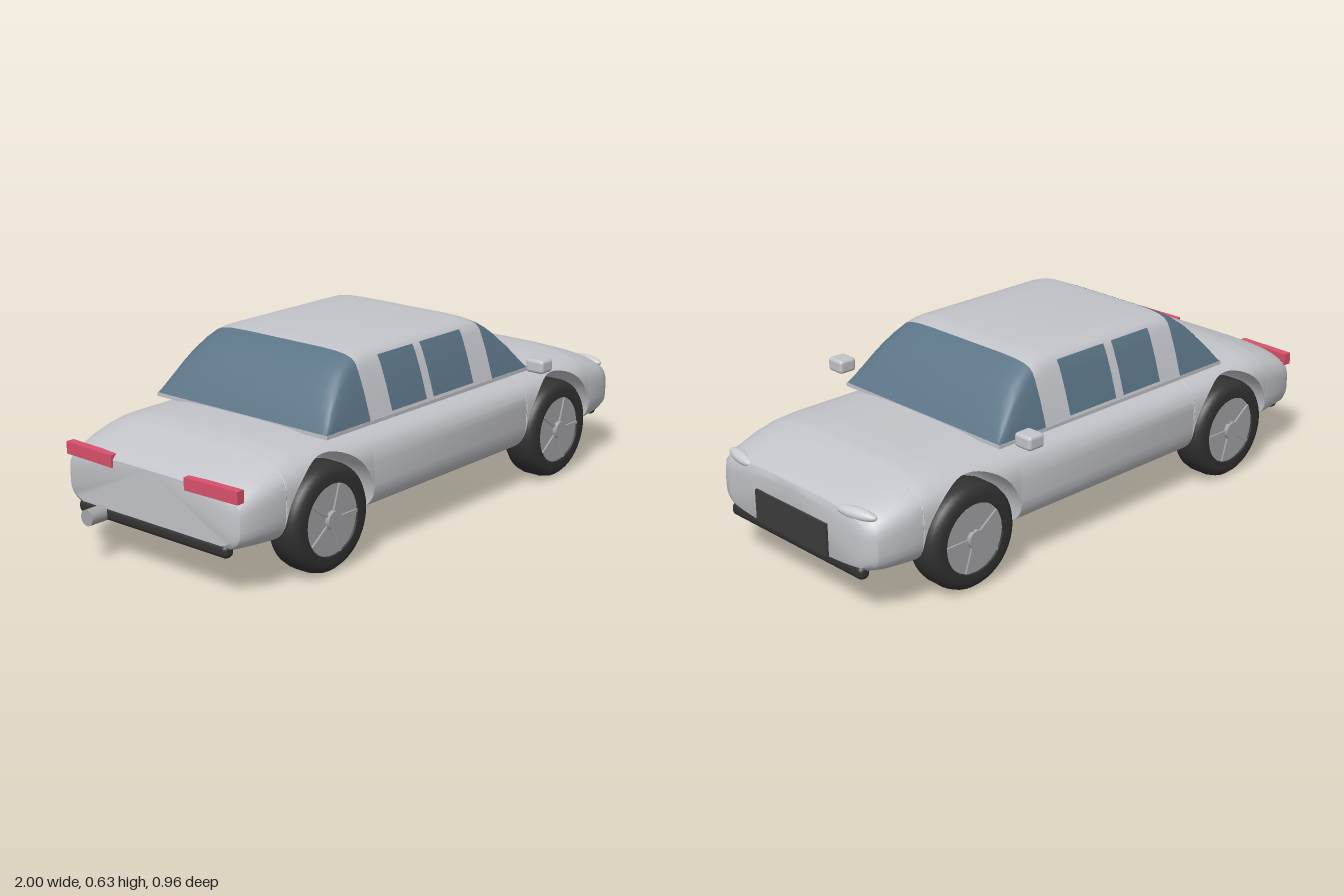
import * as THREE from 'three';
import { toCreasedNormals } from 'three/addons/utils/BufferGeometryUtils.js';
import { RoundedBoxGeometry } from 'three/addons/geometries/RoundedBoxGeometry.js';

const material = (name, color, side = THREE.FrontSide) =>
  new THREE.MeshStandardMaterial({ name, color, side });

// Skins rows of points that advance along +x; closed rows also get end caps.
function loft(rows, closed) {
  const n = rows[0].length, pos = rows.flat(2), index = [];
  const span = closed ? n : n - 1;
  for (let i = 0; i < rows.length - 1; i++) {
    for (let j = 0; j < span; j++) {
      const a = i * n + j, b = i * n + (j + 1) % n;
      index.push(a, b, a + n, b, b + n, a + n);
    }
  }
  if (closed) {
    const last = (rows.length - 1) * n;
    for (let j = 1; j < n - 1; j++) {
      index.push(0, j + 1, j);
      index.push(last, last + j, last + j + 1);
    }
  }
  const g = new THREE.BufferGeometry();
  g.setAttribute('position', new THREE.Float32BufferAttribute(pos, 3));
  g.setIndex(index);
  return toCreasedNormals(g, 0.55);
}

// Linear lookup of every column in a table keyed by its first column.
function lookup(table, x) {
  let i = 0;
  while (i < table.length - 2 && x > table[i + 1][0]) i++;
  const p = table[i], q = table[i + 1];
  const t = THREE.MathUtils.clamp((x - p[0]) / (q[0] - p[0]), 0, 1);
  return p.map((v, k) => v + (q[k] - v) * t);
}

// Body stations: x, top, bottom, half width
const BODY = [
  [-0.935, 0.335, 0.15, 0.345], [-0.925, 0.348, 0.14, 0.365], [-0.9, 0.36, 0.135, 0.378],
  [-0.83, 0.388, 0.128, 0.39], [-0.76, 0.408, 0.122, 0.398], [-0.7, 0.418, 0.118, 0.402],
  [-0.62, 0.42, 0.115, 0.404], [0.7, 0.42, 0.115, 0.404], [0.78, 0.415, 0.117, 0.4],
  [0.85, 0.398, 0.123, 0.395], [0.92, 0.374, 0.13, 0.386], [0.965, 0.356, 0.137, 0.37],
  [0.985, 0.343, 0.145, 0.345], [0.992, 0.325, 0.16, 0.31],
];
const AXLES = [-0.57, 0.62], ARCH_R = 0.197, ARCH_Y = 0.18;

// Rounded cross-section, cut off flat below the height "cut"
function bodySection(x, cut) {
  const [, top, bottom, width] = lookup(BODY, x);
  const n = 3.7, c = (top + bottom) / 2, h = (top - bottom) / 2, steps = 24;
  const u = Math.max(-0.995, (cut - c) / h);
  const end = Math.acos(Math.sign(u) * Math.abs(u) ** (n / 2));
  const half = [];
  for (let i = 0; i <= steps; i++) {
    const a = end * i / steps, k = Math.cos(a);
    half.push([x, c + h * Math.sign(k) * Math.abs(k) ** (2 / n), width * Math.sin(a) ** (2 / n)]);
  }
  return [...half, ...half.slice(1).reverse().map(([px, y, z]) => [px, y, -z])];
}

function bodyGeometry() {
  const stations = BODY.map(r => [r[0], 0]).filter(([x]) => AXLES.every(c => Math.abs(x - c) > ARCH_R));
  for (const c of AXLES) {
    stations.push([c - ARCH_R, 0]);
    for (let i = 0; i <= 28; i++) {
      const a = Math.PI * i / 28;
      stations.push([c - ARCH_R * Math.cos(a), ARCH_Y + ARCH_R * Math.sin(a)]);
    }
    stations.push([c + ARCH_R, 0]);
  }
  stations.sort((p, q) => p[0] - q[0]);
  return loft(stations.map(([x, cut]) => bodySection(x, cut)), true);
}

// Cabin: side profile (x, y) and half cross-section (height fraction, z)
const BASE = 0.42, RISE = 0.21;
const CABIN = [
  [-0.55, 0.42], [-0.525, 0.46], [-0.5, 0.494], [-0.465, 0.536], [-0.43, 0.572], [-0.39, 0.602],
  [-0.345, 0.622], [-0.3, 0.63], [0.2, 0.63], [0.24, 0.627], [0.28, 0.615], [0.32, 0.594],
  [0.36, 0.562], [0.4, 0.522], [0.44, 0.475], [0.48, 0.42],
];
const SIDE = [
  [0, 0.363], [0.2, 0.35], [0.43, 0.335], [0.6, 0.322], [0.75, 0.31], [0.85, 0.3],
  [0.92, 0.285], [0.965, 0.26], [0.99, 0.22], [1, 0.16], [1, 0],
];

function cabinSection(x) {
  const h = lookup(CABIN, x)[1] - BASE;
  const half = SIDE.map(([f, z]) => [x, BASE + h * f, z * (1 + 0.2 * f * (1 - h / RISE))]);
  return [...half.map(([px, y, z]) => [px, y, -z]), ...half.slice(0, -1).reverse()];
}

const cabinPart = (from, to) =>
  loft(CABIN.filter(([x]) => x >= from && x <= to).map(([x]) => cabinSection(x)), false);

// Thin pane lying just outside the cabin side
function paneGeometry(x0, x1, side) {
  const rows = [x0, x1].map(x => [0.86, 0.75, 0.6, 0.43, 0.2, 0.05].map(f =>
    [x, BASE + RISE * f + 0.001, side * (lookup(SIDE, f)[1] + 0.004)]));
  return loft(rows, false);
}

export function createModel() {
  const paint = material('body paint', 0xc3c4c9, THREE.DoubleSide);
  const glass = material('glass', 0x5b7486, THREE.DoubleSide);
  const rubber = material('tyre rubber', 0x323232);
  const alloy = material('wheel alloy', 0xa5a5a7);
  const trim = material('dark trim', 0x3c3c3c);
  const red = material('tail light red', 0xd9506c);
  const lamp = material('headlight', 0xcbccd0);

  const car = new THREE.Group();
  car.name = 'car';
  const add = (name, geometry, mat, x = 0, y = 0, z = 0, parent = car) => {
    const mesh = new THREE.Mesh(geometry, mat);
    mesh.name = name;
    mesh.position.set(x, y, z);
    parent.add(mesh);
    return mesh;
  };

  // Shell and cabin
  add('body', bodyGeometry(), paint);
  add('cabinSill', new THREE.BoxGeometry(1.03, 0.012, 0.728), paint, -0.035, 0.416, 0);
  add('roof', cabinPart(-0.345, 0.28), paint);
  add('rearWindow', cabinPart(-0.55, -0.345), glass);
  add('windshield', cabinPart(0.28, 0.48), glass);

  // Wheels: rounded tyre, alloy disc, five slim spokes and a hub
  const tyreProfile = [[0, -0.0625], [0.14, -0.0625], [0.156, -0.058], [0.167, -0.045], [0.172, -0.025],
    [0.172, 0.025], [0.167, 0.045], [0.156, 0.058], [0.14, 0.0625], [0.115, 0.0615], [0.113, 0.045]]
    .map(([r, y]) => new THREE.Vector2(r, y));
  const tyre = toCreasedNormals(new THREE.LatheGeometry(tyreProfile, 40), 0.6);
  const disc = new THREE.CylinderGeometry(0.115, 0.115, 0.03, 40);
  const hub = new THREE.CylinderGeometry(0.03, 0.03, 0.03, 24);
  const spoke = new THREE.BoxGeometry(0.085, 0.008, 0.01);
  for (const x of AXLES) {
    for (const s of [1, -1]) {
      const wheel = new THREE.Group();
      wheel.name = (x > 0 ? 'front' : 'rear') + (s > 0 ? 'Left' : 'Right') + 'Wheel';
      wheel.position.set(x, 0.174, s * 0.345);
      wheel.rotation.x = s * Math.PI / 2;
      add('tyre', tyre, rubber, 0, 0, 0, wheel);
      add('rim', disc, alloy, 0, 0.04, 0, wheel);
      add('hub', hub, alloy, 0, 0.055, 0, wheel);
      for (let i = 0; i < 5; i++) {
        const a = i * Math.PI * 2 / 5;
        add('spoke', spoke, alloy, 0.07 * Math.cos(a), 0.057, -0.07 * Math.sin(a), wheel).rotation.y = a;
      }
      car.add(wheel);
    }
  }

  // Mirrored side details
  const mirror = new RoundedBoxGeometry(0.065, 0.047, 0.07, 3, 0.012);
  const tail = new THREE.BoxGeometry(0.028, 0.04, 0.21);
  const bulb = new THREE.SphereGeometry(1, 28, 18);
  for (const s of [1, -1]) {
    const label = s > 0 ? 'left' : 'right';
    add(label + 'RearSideWindow', paneGeometry(-0.243, -0.07, s), glass);
    add(label + 'FrontSideWindow', paneGeometry(-0.035, 0.174, s), glass);
    add(label + 'Mirror', mirror, paint, 0.432, 0.453, s * 0.444);
    add(label + 'TailLight', tail, red, -0.924, 0.33, s * 0.26).rotation.y = s * 0.03;
    const light = add(label + 'Headlight', bulb, lamp, 0.967, 0.333, s * 0.281);
    light.scale.set(0.022, 0.019, 0.073);
    light.rotation.y = -s * 0.2;
  }

  // Bumpers, front grille plate and exhaust
  const bumper = new RoundedBoxGeometry(0.04, 0.044, 0.64, 4, 0.018);
  add('frontBumper', bumper, rubber, 0.973, 0.153, 0);
  add('rearBumper', bumper, rubber, -0.92, 0.153, 0);
  add('grille', new THREE.BoxGeometry(0.02, 0.107, 0.344), trim, 0.99, 0.216, 0);
  add('exhaust', new THREE.CylinderGeometry(0.026, 0.026, 0.1, 24), alloy, -0.95, 0.153, -0.21)
    .rotation.z = Math.PI / 2;
  return car;
}
